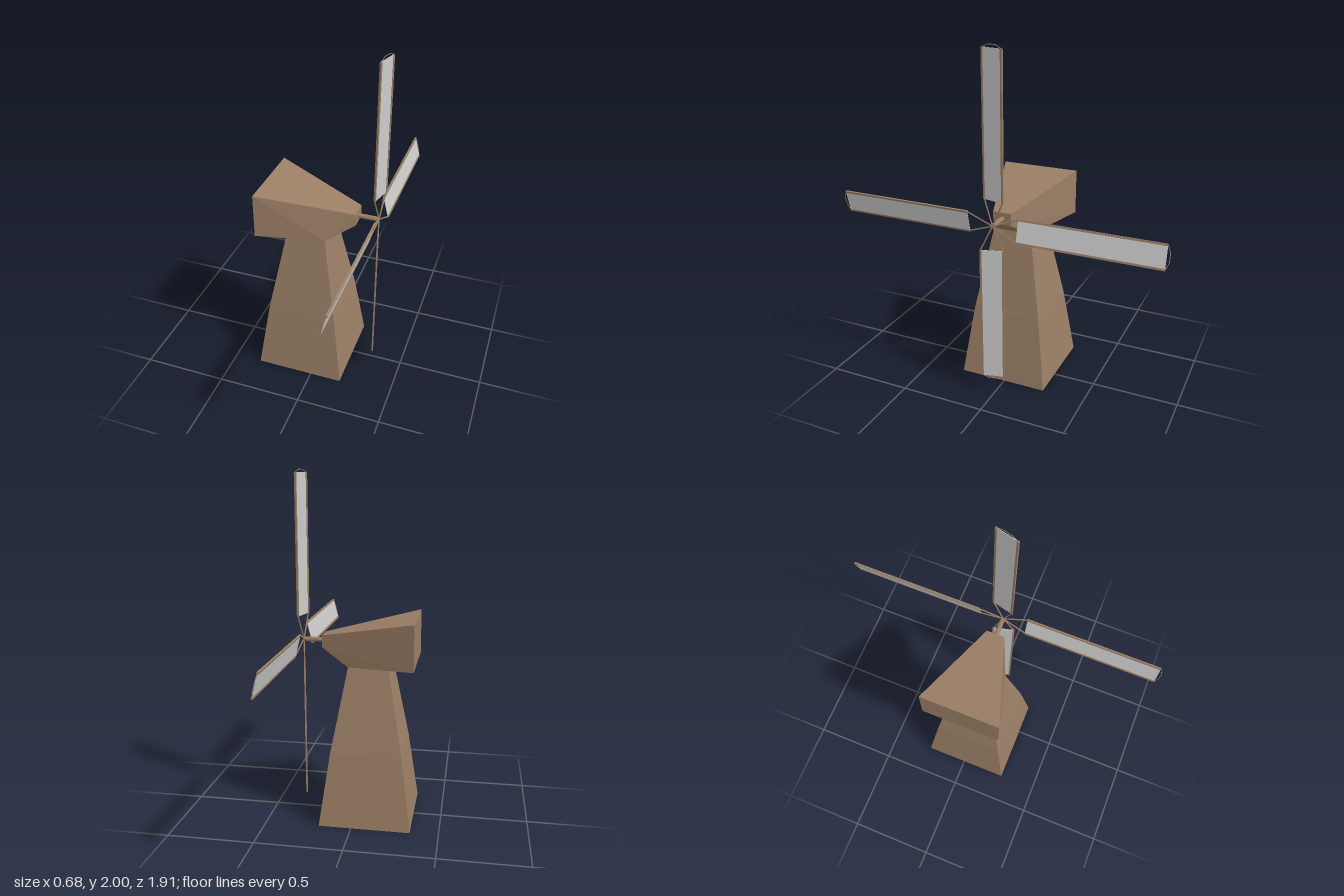
import * as THREE from 'three';
import { ConvexGeometry } from 'three/addons/geometries/ConvexGeometry.js';

const wood = new THREE.MeshStandardMaterial({ color: 0x9a7e65, flatShading: true });
const cloth = new THREE.MeshStandardMaterial({ color: 0xcccccc, flatShading: true, side: THREE.DoubleSide });
const v = (x, y, z) => new THREE.Vector3(x, y, z);

function add(parent, name, geometry, material = wood) {
  const mesh = new THREE.Mesh(geometry, material);
  mesh.name = name;
  parent.add(mesh);
  return mesh;
}

// Round bar between two points
function bar(parent, name, a, b, radius, sides = 6) {
  const dir = b.clone().sub(a);
  const mesh = add(parent, name, new THREE.CylinderGeometry(radius, radius, dir.length(), sides));
  mesh.position.copy(a).add(b).multiplyScalar(0.5);
  mesh.quaternion.setFromUnitVectors(v(0, 1, 0), dir.normalize());
  return mesh;
}

// Four corners of a horizontal square of the tower
const square = (y, half) => [[-1, -1], [1, -1], [1, 1], [-1, 1]]
  .map(([sx, sz]) => v(-0.075 + sx * half, y, 0.012 + sz * half));

// Four corners of an upright rectangle of the cap
const upright = (x, y0, y1, half) => [[y0, -half], [y0, half], [y1, half], [y1, -half]]
  .map(([y, z]) => v(x, y, z));

// One sail pointing up, with its root at the hub
function createSail() {
  const sail = new THREE.Group();
  const inner = 0.143, outer = 0.935, half = 0.062, length = outer - inner;
  const pitch = 0.25, offset = -0.007;
  // Point at a sideways distance s on the pitched sail plane
  const at = (s, y) => v(-s * Math.sin(pitch), y, offset + s * Math.cos(pitch));

  const panel = add(sail, 'sailPanel', new THREE.BoxGeometry(0.003, length, half * 2), cloth);
  panel.position.copy(at(0, (inner + outer) / 2));
  panel.rotation.y = -pitch;

  for (const side of [-1, 1]) {
    const rail = add(sail, 'sailRail', new THREE.BoxGeometry(0.01, length, 0.011));
    rail.position.copy(at(side * half, (inner + outer) / 2));
    rail.rotation.y = -pitch;
    bar(sail, 'sailStrut', v(0, 0, 0), at(side * half, inner), 0.004);
    bar(sail, 'sailTipWire', at(side * half, outer), at(side * 0.025, 0.951), 0.002);
  }
  bar(sail, 'sailTipWire', at(-0.025, 0.951), at(0.025, 0.951), 0.002);
  return sail;
}

export function createModel() {
  const model = new THREE.Group();
  model.name = 'windmill';

  // Square tapering tower
  const neck = square(0.915, 0.115);
  add(model, 'tower', new ConvexGeometry([...square(0, 0.263), ...square(0.42, 0.205), ...neck]));

  // Wedge-shaped cap resting on the tower neck
  add(model, 'cap', new ConvexGeometry([
    ...upright(-0.342, 0.935, 1.198, 0.232), ...upright(0.198, 1.012, 1.083, 0.054), ...neck,
  ]));

  // Shaft and the four sails
  bar(model, 'shaft', v(0.15, 1.047, 0), v(0.318, 1.047, 0), 0.014, 10);
  const rotor = new THREE.Group();
  rotor.name = 'rotor';
  rotor.position.set(0.317, 1.047, 0);
  for (let i = 0; i < 4; i++) {
    const sail = createSail();
    sail.name = 'sail' + (i + 1);
    sail.rotation.x = i * Math.PI / 2;
    rotor.add(sail);
  }
  model.add(rotor);
  return model;
}
